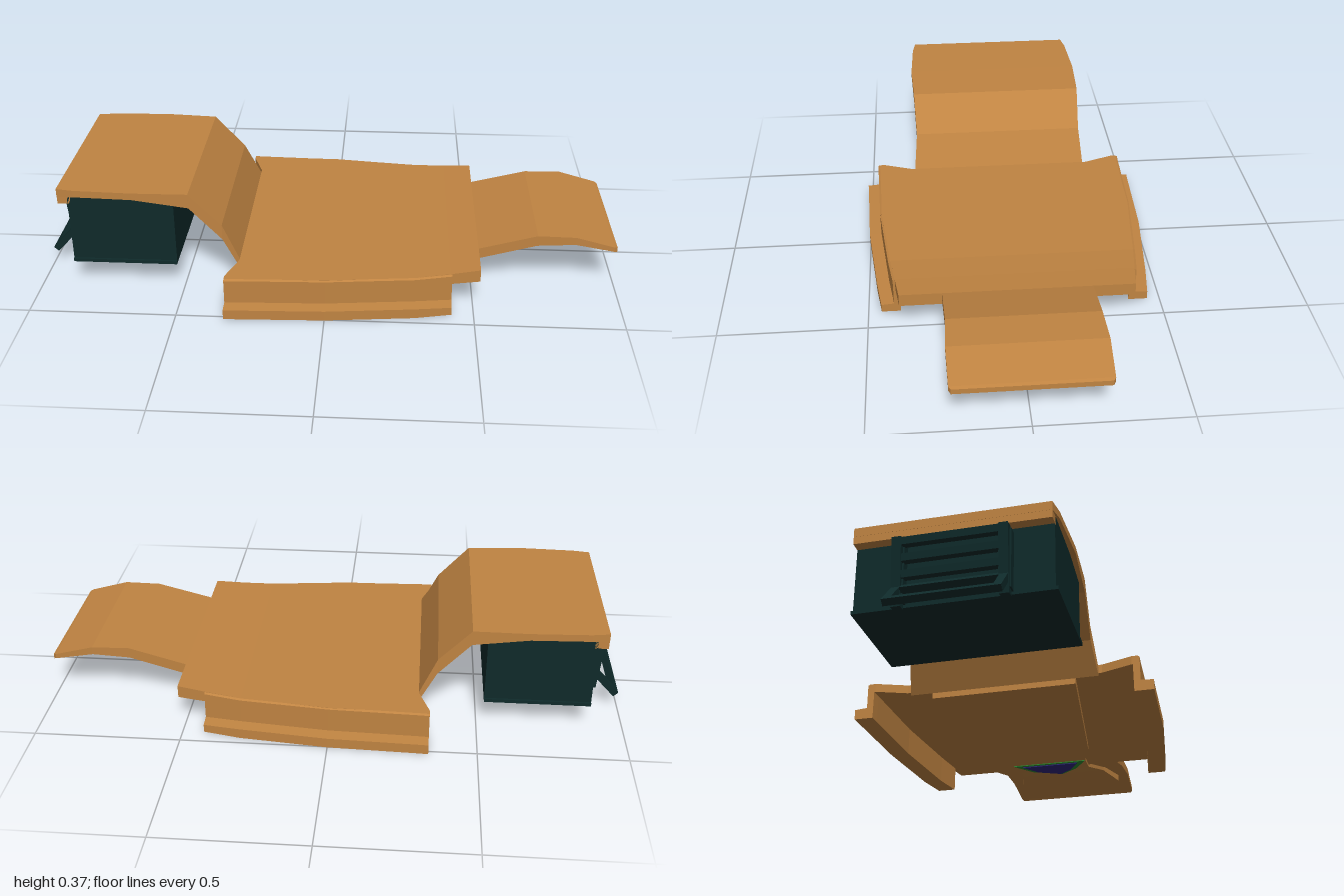
import * as THREE from 'three';

// Joins (z, y) rings placed along x into a closed, faceted solid. Rings run counter-clockwise in (z, y).
function loft(sections) {
  const pos = [];
  const n = sections[0].ring.length;
  const put = (s, i) => pos.push(s.x, s.ring[i][1], s.ring[i][0]);
  for (let k = 0; k < sections.length - 1; k++) {
    const a = sections[k], b = sections[k + 1];
    for (let i = 0; i < n; i++) {
      const j = (i + 1) % n;
      put(a, i); put(b, j); put(a, j);
      put(a, i); put(b, i); put(b, j);
    }
  }
  const cap = (s, flip) => {
    const tris = THREE.ShapeUtils.triangulateShape(s.ring.map(p => new THREE.Vector2(p[0], p[1])), []);
    for (const [a, b, c] of tris) (flip ? [c, b, a] : [a, b, c]).forEach(i => put(s, i));
  };
  cap(sections[0], false);
  cap(sections[sections.length - 1], true);
  const g = new THREE.BufferGeometry();
  g.setAttribute('position', new THREE.Float32BufferAttribute(pos, 3));
  g.computeVertexNormals();
  return g;
}

// Bent plate, symmetric in z: rows of [x, top, bottom, half width]
const plate = rows => loft(rows.map(([x, t, b, w]) => ({ x, ring: [[-w, b], [w, b], [w, t], [-w, t]] })));

function material(name, color) {
  const m = new THREE.MeshStandardMaterial({ color, flatShading: true });
  m.name = name;
  return m;
}

export function createModel() {
  const model = new THREE.Group();
  model.name = 'bodyPanels';
  const tan = material('tan', 0xc08442);
  const dark = material('darkTeal', 0x0f2a2a);
  const green = material('green', 0x2f8a30);
  const blue = material('indigo', 0x30267c);

  const add = (name, geometry, mat, parent = model) => {
    const m = new THREE.Mesh(geometry, mat);
    m.name = name;
    parent.add(m);
    return m;
  };
  const box = (name, mat, size, at, parent) => {
    const m = add(name, new THREE.BoxGeometry(...size), mat, parent);
    m.position.set(...at);
    return m;
  };

  // Raised rear roof and the slope down to the deck
  add('roofAndSlope', plate([
    [-0.92, 0.37, 0.34, 0.31], [-0.86, 0.37, 0.345, 0.32], [-0.66, 0.37, 0.345, 0.328],
    [-0.47, 0.367, 0.315, 0.32], [-0.36, 0.25, 0.195, 0.315], [-0.3, 0.125, 0.09, 0.328],
  ]), tan);
  box('roofRearLip', tan, [0.045, 0.045, 0.62], [-0.897, 0.337, 0]);

  // Wide middle deck
  add('deck', plate([
    [-0.3, 0.13, 0.1, 0.46], [0, 0.13, 0.1, 0.455], [0.3, 0.13, 0.1, 0.42],
    [0.42, 0.139, 0.1, 0.405], [0.52, 0.149, 0.105, 0.392],
  ]), tan);

  // Narrow nose that rises and dips at its tip
  add('nose', plate([
    [0.5, 0.147, 0.105, 0.25], [0.52, 0.149, 0.11, 0.25], [0.72, 0.203, 0.165, 0.246],
    [0.85, 0.203, 0.175, 0.25], [0.985, 0.167, 0.15, 0.247], [0.995, 0.163, 0.145, 0.24],
  ]), tan);

  // Waisted slab under the nose and deck
  add('underSlab', plate([
    [-0.3, 0.11, 0.07, 0.25], [0.3, 0.11, 0.078, 0.18], [0.42, 0.12, 0.085, 0.145],
    [0.52, 0.13, 0.095, 0.14], [0.7, 0.18, 0.145, 0.17], [0.85, 0.19, 0.15, 0.21],
  ]), tan);

  // Triangular mark beneath the nose
  const underside = x => (x < 0.52 ? 0.085 + (x - 0.42) * 0.1 : 0.095 + (x - 0.52) * 0.278);
  const mark = (x0, x1, w, depth) => plate([x0, 0.52, x1].map(x => {
    const y = underside(x);
    return [x, y + 0.001, y - depth, Math.max(0.001, w * (x1 - x) / (x1 - x0))];
  }));
  add('markBorder', mark(0.42, 0.68, 0.143, 0.003), green);
  add('markCentre', mark(0.435, 0.65, 0.11, 0.006), blue);

  // Side flares: [x, outer z, inner z, foot y, top y]
  const flareRows = [
    [-0.338, 0.515, 0.445, 0.003, 0.13], [-0.3, 0.513, 0.34, 0.003, 0.13],
    [0, 0.503, 0.38, 0.003, 0.13], [0.3, 0.472, 0.35, 0.003, 0.13], [0.425, 0.455, 0.34, 0.01, 0.138],
  ];
  for (const side of [1, -1]) {
    const sections = flareRows.map(([x, o, inner, foot, top]) => {
      const ring = [
        [o - 0.065, foot], [o, foot], [o, 0.038], [o - 0.043, 0.042],
        [o - 0.043, top - 0.004], [o - 0.05, top], [inner, top], [inner, 0.1], [o - 0.066, 0.1],
      ].map(([z, y]) => [z * side, y]);
      return { x, ring: side > 0 ? ring : ring.reverse() };
    });
    add(side > 0 ? 'frontFlare' : 'backFlare', loft(sections), tan);
  }

  // Dark box beneath the roof
  box('rearBox', dark, [0.362, 0.25, 0.62], [-0.704, 0.222, 0]);
  box('rearBoxFloor', dark, [0.362, 0.012, 0.635], [-0.704, 0.096, 0]);

  // Leaning rack on the rear face
  const rack = new THREE.Group();
  rack.name = 'rearRack';
  rack.position.set(-0.913, 0.195, 0);
  rack.rotation.z = 0.09;
  model.add(rack);
  for (const z of [-0.165, 0.165]) box('rackRail', dark, [0.03, 0.23, 0.03], [0, 0, z], rack);
  for (const y of [0.1, 0.045, -0.01]) box('rackBar', dark, [0.025, 0.025, 0.33], [0, y, 0], rack);
  for (const z of [-0.165, 0.165]) box('rackMount', dark, [0.03, 0.2, 0.04], [-0.9, 0.2, z]);

  // Open frame folded out from the foot of the rack
  const step = new THREE.Group();
  step.name = 'foldingStep';
  step.position.set(-0.947, 0.1, 0);
  step.rotation.z = 0.82;
  model.add(step);
  for (const z of [-0.165, 0.165]) box('stepArm', dark, [0.125, 0.022, 0.026], [0, 0, z], step);
  for (const x of [-0.054, 0.05]) box('stepBar', dark, [0.022, 0.022, 0.355], [x, 0, 0], step);

  return model;
}
